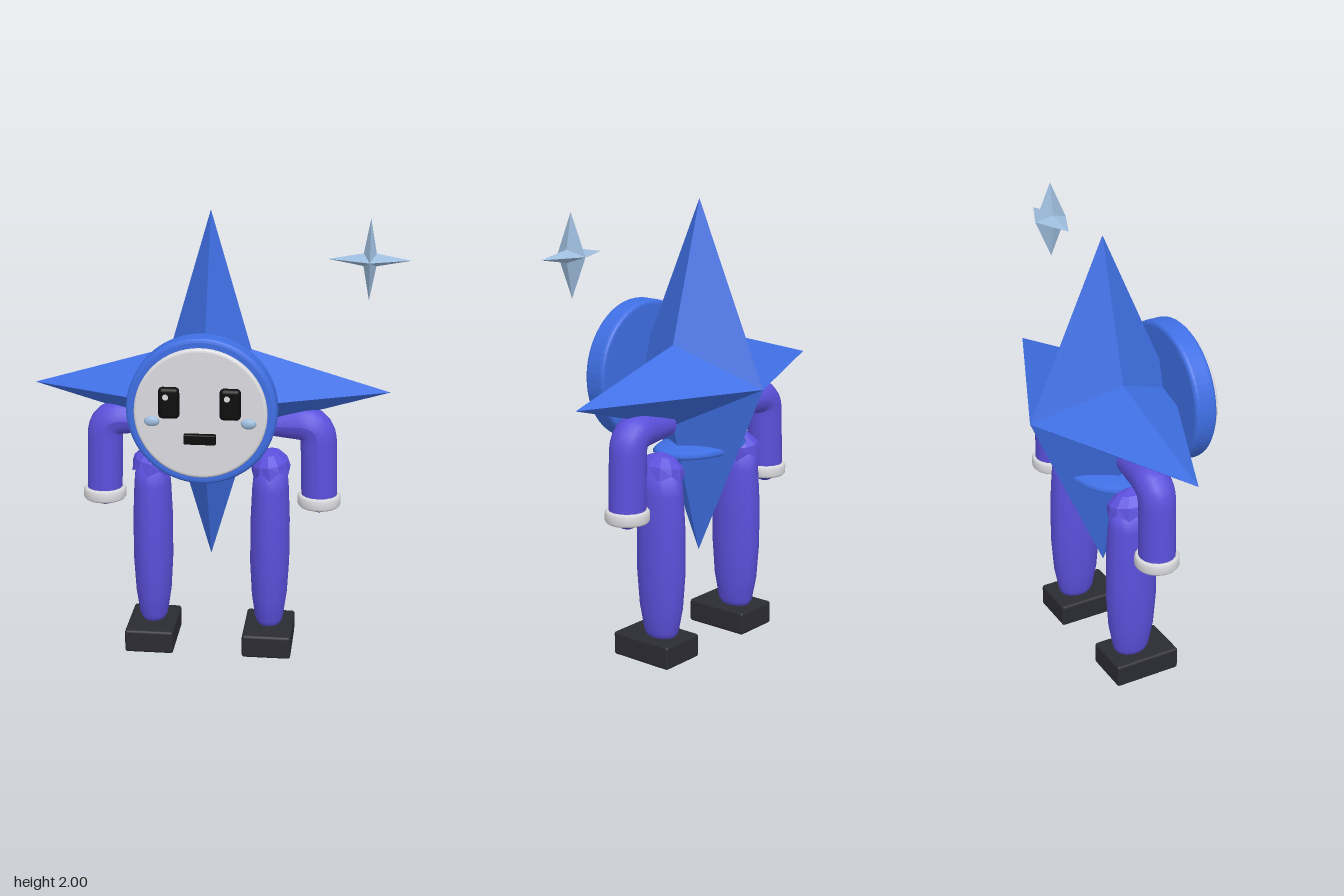
import * as THREE from 'three';
import { RoundedBoxGeometry } from 'three/addons/geometries/RoundedBoxGeometry.js';

const mat = (name, color, extra = {}) => {
  const m = new THREE.MeshStandardMaterial({ color, ...extra });
  m.name = name;
  return m;
};

// Four-pointed star: tips at R, notches at (d, d), ridged to a peak at +h and -h
function starGeometry(R, d, h) {
  const ring = [];
  for (let i = 0; i < 8; i++) {
    const a = (i * Math.PI) / 4;
    const r = i % 2 ? d * Math.SQRT2 : R;
    ring.push([Math.cos(a) * r, Math.sin(a) * r, 0]);
  }
  const pos = [];
  ring.forEach((p, i) => {
    const q = ring[(i + 1) % 8];
    pos.push(...p, ...q, 0, 0, h, ...q, ...p, 0, 0, -h);
  });
  const g = new THREE.BufferGeometry();
  g.setAttribute('position', new THREE.Float32BufferAttribute(pos, 3));
  g.computeVertexNormals();
  return g;
}

// Round plate facing +z with bevelled rims, from z0 to z1
function discGeometry(r, z0, z1, bevel) {
  const s = new THREE.Shape();
  s.absarc(0, 0, r - bevel, 0, Math.PI * 2);
  const g = new THREE.ExtrudeGeometry(s, {
    depth: z1 - z0 - 2 * bevel, bevelThickness: bevel, bevelSize: bevel,
    bevelSegments: 3, curveSegments: 32,
  });
  return g.translate(0, 0, z0 + bevel);
}

// Bent sleeve that widens from shoulder to wrist
function armGeometry() {
  const path = new THREE.CurvePath();
  const v = (x, y) => new THREE.Vector3(x, y, 0);
  path.add(new THREE.LineCurve3(v(0.22, 1.055), v(0.39, 1.062)));
  path.add(new THREE.QuadraticBezierCurve3(v(0.39, 1.062), v(0.475, 1.065), v(0.477, 0.98)));
  path.add(new THREE.LineCurve3(v(0.477, 0.98), v(0.485, 0.7)));
  const rings = 28, sides = 16;
  const g = new THREE.TubeGeometry(path, rings, 0.08, sides, false);
  const p = g.attributes.position, pt = new THREE.Vector3();
  for (let i = 0; i <= rings; i++) {
    const c = path.getPointAt(i / rings);
    const k = Math.min(1, 0.62 + (i / rings) * 1.1);
    for (let j = 0; j <= sides; j++) {
      const n = i * (sides + 1) + j;
      pt.fromBufferAttribute(p, n).sub(c).multiplyScalar(k).add(c);
      p.setXYZ(n, pt.x, pt.y, pt.z);
    }
  }
  g.computeVertexNormals();
  return g;
}

// Faceted hip cap with a zigzag lower hem
function hipGeometry() {
  const sides = 12;
  const profile = [[0.088, 0.82], [0.083, 0.88], [0.05, 0.92], [0.001, 0.94]];
  const g = new THREE.LatheGeometry(profile.map(([x, y]) => new THREE.Vector2(x, y)), sides);
  const p = g.attributes.position;
  for (let i = 0; i <= sides; i++) {
    if (i % 2) p.setY(i * profile.length, 0.85);
  }
  g.scale(1, 1, 1.3);
  const flat = g.toNonIndexed();
  flat.computeVertexNormals();
  return flat;
}

export function createModel() {
  const blue = mat('blue', 0x3f6fe4, { flatShading: false });
  const purple = mat('purple', 0x5b50dc);
  const purpleOpen = mat('purple cloth', 0x5b50dc, { side: THREE.DoubleSide });
  const white = mat('white', 0xdcdce0);
  const black = mat('black', 0x0c0c0c);
  const shoe = mat('shoe grey', 0x2b2b33);
  const pale = mat('pale blue', 0x9dbcdc);

  const model = new THREE.Group();
  model.name = 'starFigure';
  const body = new THREE.Group();
  body.name = 'figure';
  body.position.x = -0.035;
  model.add(body);

  const add = (name, geo, material, x = 0, y = 0, z = 0, parent = body) => {
    const m = new THREE.Mesh(geo, material);
    m.name = name;
    m.position.set(x, y, z);
    parent.add(m);
    return m;
  };

  // Body star and floating little star
  add('bodyStar', starGeometry(0.785, 0.177, 0.35), blue, 0, 1.215, -0.05);
  add('littleStar', starGeometry(0.174, 0.027, 0.077), pale, 0.645, 1.82, 0.057, model);

  // Face
  add('faceRim', discGeometry(0.318, 0.23, 0.335, 0.018), blue, 0, 1.215, 0);
  add('facePlate', discGeometry(0.28, 0.33, 0.363, 0.012), white, 0, 1.215, 0);
  add('mouth', new RoundedBoxGeometry(0.136, 0.044, 0.03, 2, 0.006), black, 0, 1.11, 0.37);

  // Hip saucer
  const hips = add('hipSaucer', new THREE.SphereGeometry(1, 24, 8), blue, 0, 0.915, -0.055);
  hips.scale.set(0.25, 0.036, 0.17);

  const arm = armGeometry();
  const hip = hipGeometry();
  const legProfile = [[0.001, 0.1], [0.05, 0.1], [0.064, 0.13], [0.08, 0.24], [0.089, 0.4],
    [0.089, 0.6], [0.082, 0.76], [0.074, 0.85], [0.001, 0.87]];
  const leg = new THREE.LatheGeometry(legProfile.map(([x, y]) => new THREE.Vector2(x, y)), 14);
  leg.scale(1, 1, 1.32);
  const cuffProfile = [[0.07, 0.68], [0.088, 0.68], [0.096, 0.69], [0.096, 0.725], [0.088, 0.735],
    [0.07, 0.735], [0.07, 0.68]];
  const cuff = new THREE.LatheGeometry(cuffProfile.map(([x, y]) => new THREE.Vector2(x, y)), 24);

  for (const s of [-1, 1]) {
    const side = s > 0 ? 'left' : 'right';

    // Eyes, glints and cheeks
    const eye = new RoundedBoxGeometry(0.088, 0.134, 0.04, 4, 0.018);
    add(side + 'Eye', eye, black, s * 0.128, 1.267, 0.377);
    const glint = add(side + 'EyeGlint', new THREE.CircleGeometry(0.013, 12), white,
      s * 0.128 - 0.012, 1.295, 0.398);
    glint.rotation.z = 0.3;
    const cheek = add(side + 'Cheek', new THREE.SphereGeometry(1, 12, 8), pale, s * 0.203, 1.18, 0.363);
    cheek.scale.set(0.033, 0.022, 0.014);

    // Arm, cuff and hand
    const sleeve = add(side + 'Arm', arm, purpleOpen, 0, 0, -0.055);
    sleeve.scale.x = s;
    const cap = add(side + 'ShoulderEnd', new THREE.CircleGeometry(0.05, 16), purpleOpen,
      s * 0.22, 1.055, -0.055);
    cap.rotation.y = Math.PI / 2;
    add(side + 'Cuff', cuff, white, s * 0.484, 0, -0.055);
    add(side + 'Hand', new THREE.SphereGeometry(0.058, 16, 12), purple, s * 0.484, 0.706, -0.055);

    // Leg, hip cap and shoe
    add(side + 'Leg', leg, purple, s * 0.266, 0, -0.055);
    const pivot = add(side + 'HipCap', hip, purpleOpen, s * 0.266, 0.86, -0.055);
    pivot.geometry = hip.clone().translate(0, -0.86, 0);
    pivot.rotation.z = s * 0.15;
    add(side + 'Shoe', new RoundedBoxGeometry(0.22, 0.106, 0.31, 2, 0.012), shoe,
      s * 0.266, 0.053, -0.025);
  }
  return model;
}
